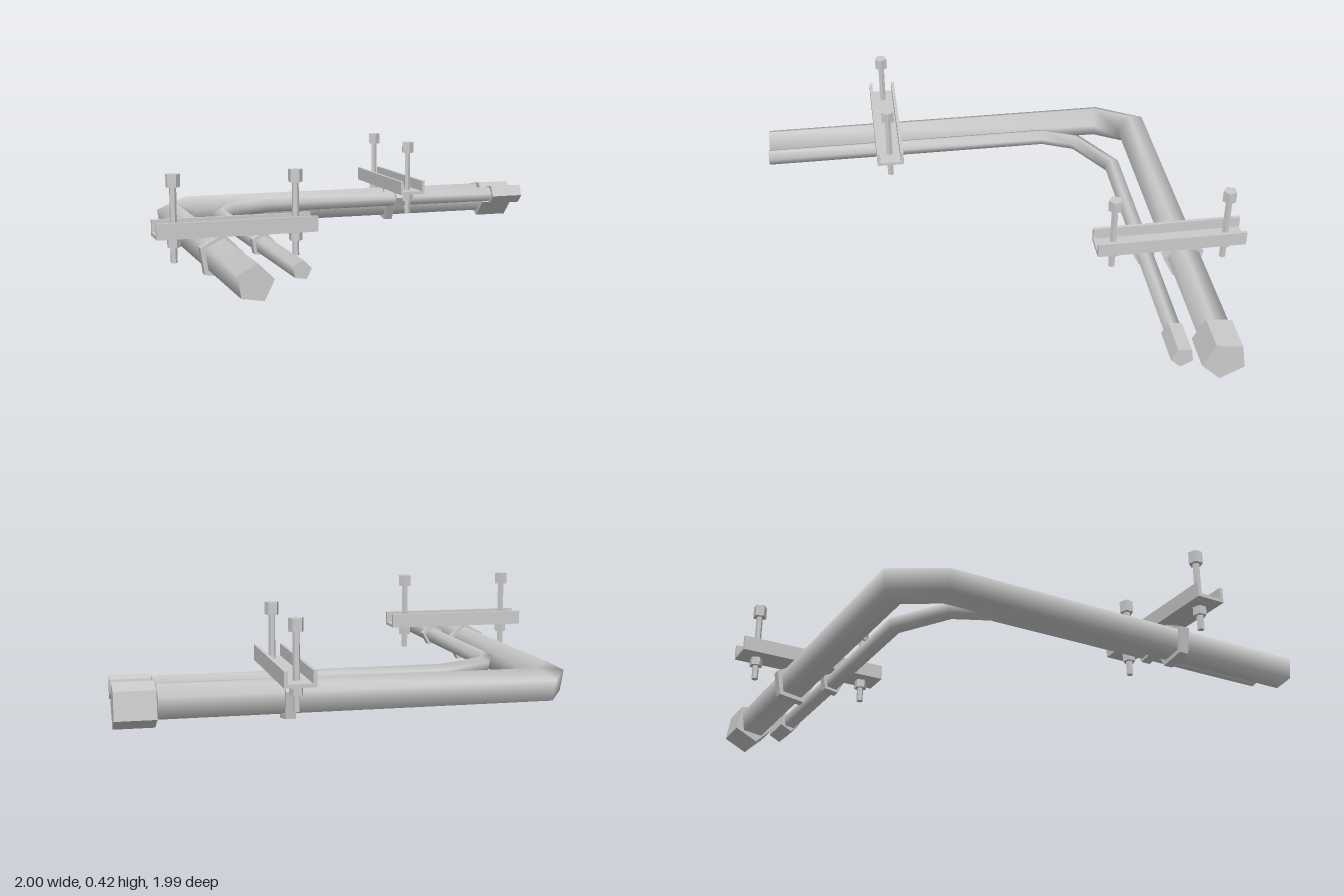
import * as THREE from 'three';

const SIDES = 5, PHASE = 0.16;
const smooth = new THREE.MeshStandardMaterial({ color: 0xcccccc, side: THREE.DoubleSide });
const flat = new THREE.MeshStandardMaterial({ color: 0xcccccc, flatShading: true });

function add(parent, name, geometry, material = flat) {
  const mesh = new THREE.Mesh(geometry, material);
  mesh.name = name;
  parent.add(mesh);
  return mesh;
}

// Five-sided pipe swept along a level path of [x, z] points, with mitred bends
function pipeGeometry(path, y, r) {
  const pts = path.map(([x, z]) => new THREE.Vector2(x, z));
  const pos = [], index = [];
  const last = pts.length - 1;
  const ring = (i) => {
    const a = pts[i].clone().sub(pts[Math.max(i - 1, 0)]).normalize();
    const b = pts[Math.min(i + 1, last)].clone().sub(pts[i]).normalize();
    const d = a.clone().add(b).normalize();
    const stretch = 1 / Math.max(d.dot(i ? a : b), 0.5);
    for (let k = 0; k < SIDES; k++) {
      const t = PHASE + (k / SIDES) * Math.PI * 2;
      const s = Math.cos(t) * r * stretch;
      pos.push(pts[i].x - d.y * s, y + Math.sin(t) * r, pts[i].y + d.x * s);
    }
  };
  pts.forEach((_, i) => ring(i));
  for (let i = 0; i < last; i++) {
    for (let k = 0; k < SIDES; k++) {
      const a = i * SIDES + k, b = i * SIDES + (k + 1) % SIDES;
      index.push(a, a + SIDES, b, b, a + SIDES, b + SIDES);
    }
  }
  // End caps use their own rings so the rims stay sharp
  for (const i of [0, last]) {
    const start = pos.length / 3;
    ring(i);
    for (let k = 1; k < SIDES - 1; k++) {
      index.push(start, ...(i ? [start + k + 1, start + k] : [start + k, start + k + 1]));
    }
  }
  const g = new THREE.BufferGeometry();
  g.setAttribute('position', new THREE.Float32BufferAttribute(pos, 3));
  g.setIndex(index);
  g.computeVertexNormals();
  return g;
}

// Upright five-sided post between two heights
function post(parent, name, r, y0, y1, x) {
  const m = add(parent, name, new THREE.CylinderGeometry(r, r, y1 - y0, SIDES));
  m.position.set(x, (y0 + y1) / 2, 0);
  m.rotation.y = 0.3;
}

// Flat band wrapped around a pipe that runs along z
function band(parent, name, x, y, inner, outer) {
  const polygon = (Type, r) => {
    const p = [];
    for (let k = 0; k < SIDES; k++) {
      const t = PHASE + (k / SIDES) * Math.PI * 2;
      p.push(new THREE.Vector2(Math.cos(t) * r, Math.sin(t) * r));
    }
    return new Type(p);
  };
  const shape = polygon(THREE.Shape, outer);
  shape.holes.push(polygon(THREE.Path, inner));
  const g = new THREE.ExtrudeGeometry(shape, { depth: 0.04, bevelEnabled: false });
  add(parent, name, g.translate(x, y, -0.02));
}

// Channel bracket along x, with two bolts and a band for each pipe
function bracket(name, bigX, smallX) {
  const g = new THREE.Group();
  g.name = name;
  const w = 0.06, t = 0.014, h = 0.062;
  const u = new THREE.Shape([[-w, 0], [w, 0], [w, h], [w - t, h], [w - t, t],
    [-w + t, t], [-w + t, h], [-w, h]].map((p) => new THREE.Vector2(...p)));
  const channel = new THREE.ExtrudeGeometry(u, { depth: 0.63, bevelEnabled: false });
  add(g, 'channel', channel.translate(0, 0.179, -0.315).rotateY(Math.PI / 2));
  for (const x of [-0.24, 0.24]) {
    post(g, 'boltShank', 0.014, 0.08, 0.38, x);
    post(g, 'boltHead', 0.029, 0.37, 0.42, x);
    post(g, 'nut', 0.027, 0.14, 0.175, x);
  }
  band(g, 'largePipeBand', bigX, 0.093, 0.07, 0.091);
  band(g, 'smallPipeBand', smallX, 0.133, 0.036, 0.05);
  return g;
}

export function createModel() {
  const model = new THREE.Group();
  model.name = 'pipeRun';

  // Two pipes turning the corner side by side
  add(model, 'largePipe', pipeGeometry(
    [[-0.747, 0.99], [-0.747, -0.585], [-0.655, -0.745], [0.84, -0.745]], 0.097, 0.071), smooth);
  add(model, 'smallPipe', pipeGeometry(
    [[-0.58, 0.99], [-0.58, -0.3], [-0.515, -0.445], [-0.3, -0.575], [0.84, -0.575]], 0.133, 0.036), smooth);

  // End sleeves
  for (const [name, r, y, z] of [['largeSleeve', 0.091, 0.094, -0.747], ['smallSleeve', 0.047, 0.133, -0.577]]) {
    const s = add(model, name, new THREE.CylinderGeometry(r, r, 0.155, SIDES));
    s.rotation.set(0.16, 0, -Math.PI / 2, 'XYZ');
    s.position.set(0.9225, y, z);
  }

  // Brackets, one on each leg
  const front = bracket('frontBracket', -0.062, 0.105);
  front.position.set(-0.685, 0, 0.435);
  const back = bracket('backBracket', -0.067, 0.105);
  back.rotation.y = -Math.PI / 2;
  back.position.set(0.355, 0, -0.68);
  model.add(front, back);
  return model;
}
